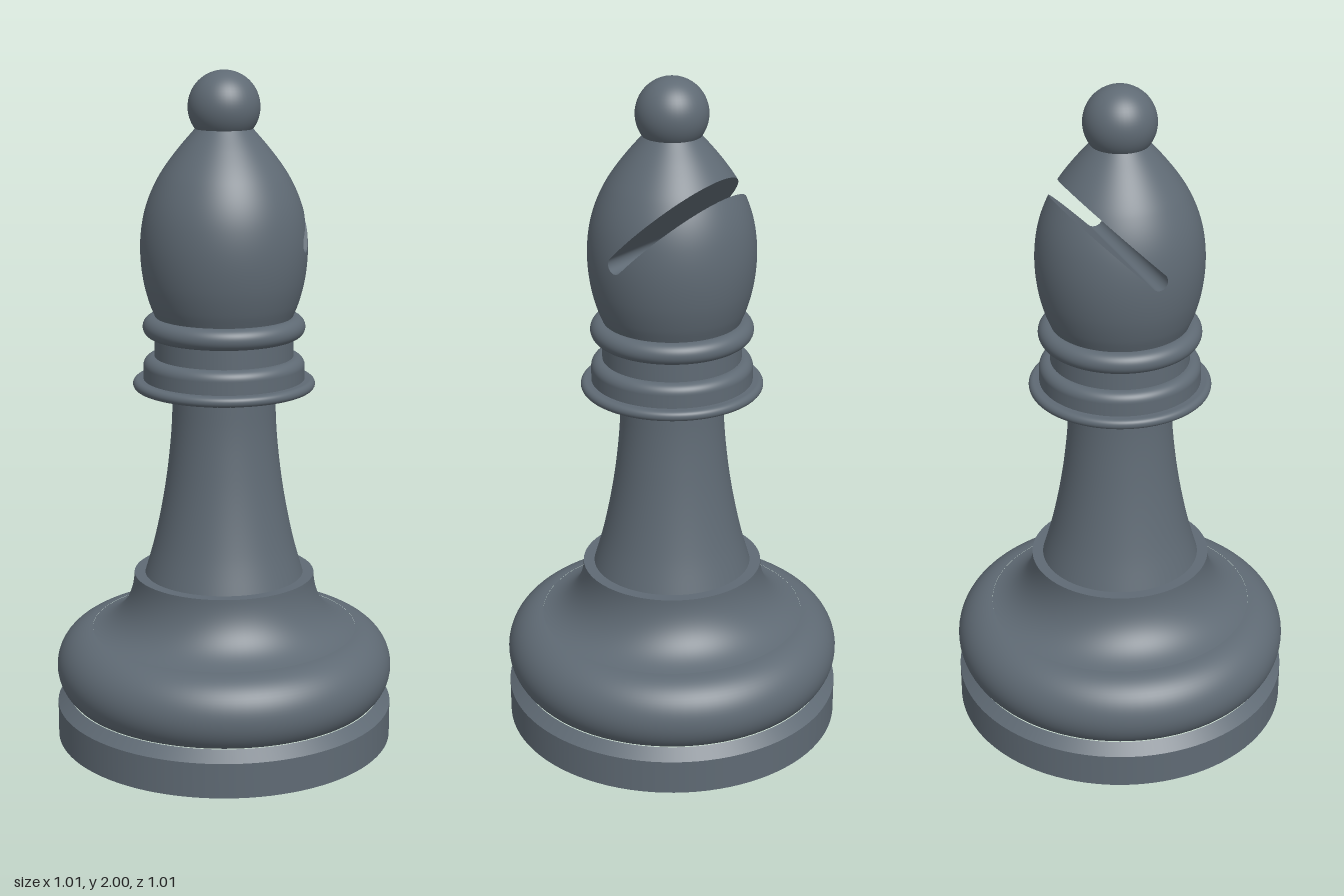
import * as THREE from 'three';
import { mergeGeometries } from 'three/addons/utils/BufferGeometryUtils.js';

const SEG = 96;
const material = new THREE.MeshStandardMaterial({ color: 0x5f6a74 });

// Profile helpers: every run is a smooth stretch of [radius, height] points; creases fall between runs.
const line = (...p) => p.map(([r, y]) => new THREE.Vector2(r, y));
const spline = (...p) => new THREE.SplineCurve(line(...p)).getPoints(32);
const bezier = (...p) => new THREE.CubicBezierCurve(...line(...p)).getPoints(24);
const arc = (r, y, radius, from, to) => Array.from({ length: 25 }, (_, i) => {
  const a = THREE.MathUtils.degToRad(from + (to - from) * i / 24);
  return new THREE.Vector2(r + radius * Math.cos(a), y + radius * Math.sin(a));
});

function turned(name, ...runs) {
  const mesh = new THREE.Mesh(mergeGeometries(runs.map(run => new THREE.LatheGeometry(run, SEG))), material);
  mesh.name = name;
  return mesh;
}

// Grid surface: one row per height, n steps across; point(y, t) and optional normal(y, t).
function grid(rows, n, point, normal) {
  const pos = [], nor = [], index = [];
  rows.forEach((y, j) => {
    for (let i = 0; i <= n; i++) {
      pos.push(...point(y, i / n));
      if (normal) nor.push(...normal(y, i / n));
      if (j && i) {
        const d = j * (n + 1) + i, c = d - 1, b = d - n - 1, a = b - 1;
        index.push(a, b, c, b, d, c);
      }
    }
  });
  const g = new THREE.BufferGeometry();
  g.setAttribute('position', new THREE.Float32BufferAttribute(pos, 3));
  g.setIndex(index);
  if (normal) g.setAttribute('normal', new THREE.Float32BufferAttribute(nor, 3));
  else g.computeVertexNormals();
  return g;
}

// Head: a turned egg with a round-bottomed slot cut across it, rising at 45 degrees to the back.
function slottedHead() {
  const bottom = 1.285, top = 1.84;
  const curve = new THREE.CubicInterpolant(
    [bottom, 1.33, 1.4, 1.49, 1.57, 1.63, 1.69, 1.73, 1.78, top],
    [0.199, 0.217, 0.235, 0.243, 0.236, 0.22, 0.193, 0.168, 0.13, 0.078], 1);
  const radius = y => curve.evaluate(y)[0];

  // Slot edges in the z-y plane at each height
  const cz = 0.018, cy = 1.512, h = 0.025, tip = cy - h, k = h * Math.SQRT1_2;
  const round = y => Math.sqrt(Math.max(0, h * h - (y - cy) ** 2));
  const frontEdge = y => y <= tip ? cz : y < cy + k ? cz + round(y) : cz + 2 * k - (y - cy);
  const backEdge = y => y <= tip ? cz : y < cy - k ? cz - round(y) : cz - 2 * k - (y - cy);

  // Height at which an edge leaves the head
  const exit = edge => {
    let lo = cy + k, hi = top;
    for (let i = 0; i < 40; i++) {
      const m = (lo + hi) / 2;
      if (edge(m) + radius(m) > 0) lo = m; else hi = m;
    }
    return lo;
  };
  const frontExit = exit(frontEdge), backExit = exit(backEdge);

  // Rows, packed closely around the slot's round end and its exits
  const span = (a, b, n, ease = t => t) => Array.from({ length: n + 1 }, (_, i) => a + (b - a) * ease(i / n));
  const easeOut = t => 1 - (1 - t) ** 2;
  const below = span(bottom, tip, 24);
  const bend = span(tip, cy + k, 16, t => t * t);
  const frontRows = [...bend, ...span(cy + k, frontExit, 32, easeOut).slice(1)];
  const backRows = [...bend, ...span(cy + k, backExit, 32, easeOut).slice(1)];

  const angle = (edge, y) => Math.acos(THREE.MathUtils.clamp(edge(y) / radius(y), -1, 1));
  const skin = (rows, theta) => grid(rows, SEG,
    (y, t) => {
      const r = radius(y), a = theta(y, t);
      return [r * Math.sin(a), y, r * Math.cos(a)];
    },
    (y, t) => {
      const e = 0.002, a = theta(y, t);
      const slope = (radius(y + e) - radius(y - e)) / (2 * e);
      return new THREE.Vector3(Math.sin(a), -slope, Math.cos(a)).normalize().toArray();
    });
  const wall = (rows, edge, side) => grid(rows, 8, (y, t) => {
    const z = edge(y), x = Math.sqrt(Math.max(0, radius(y) ** 2 - z * z));
    return [side * x * (2 * t - 1), y, z];
  });

  const mesh = new THREE.Mesh(mergeGeometries([
    skin([...below, ...frontRows.slice(1), ...span(frontExit, top, 16).slice(1)],
      (y, t) => (2 * t - 1) * (y >= frontExit ? Math.PI : angle(frontEdge, y))),
    skin([...below, ...backRows.slice(1)], (y, t) => {
      const a = angle(backEdge, y);
      return a + 2 * (Math.PI - a) * t;
    }),
    wall(frontRows, frontEdge, -1),
    wall(backRows, backEdge, 1),
  ]), material);
  mesh.name = 'slottedHead';
  return mesh;
}

export function createModel() {
  const group = new THREE.Group();
  group.name = 'bishop';

  // Foot: plinth, rounded bulge and hollow sweeping up to a ledge
  group.add(
    turned('plinth',
      line([0, 0], [0.507, 0]), line([0.507, 0], [0.507, 0.105]),
      line([0.507, 0.105], [0.474, 0.135])),
    turned('baseBulge', arc(0.39, 0.22, 0.117, -46, 86)),
    turned('baseHollow',
      bezier([0.398, 0.336], [0.32, 0.352], [0.273, 0.42], [0.27, 0.508]),
      line([0.27, 0.508], [0.23, 0.508])));

  // Stem
  group.add(turned('stem', spline([0.238, 0.505], [0.211, 0.6], [0.189, 0.7], [0.172, 0.8], [0.16, 0.9], [0.154, 0.98], [0.152, 1.06])));

  // Collar: thin flange, band, neck and upper ring
  group.add(
    turned('flange',
      line([0.14, 1.055], [0.2, 1.062], [0.255, 1.076]),
      arc(0.253, 1.091, 0.015, -80, 90),
      line([0.253, 1.106], [0.23, 1.106])),
    turned('collarBand',
      line([0.237, 1.1], [0.237, 1.145]), arc(0.209, 1.145, 0.028, 0, 90),
      line([0.209, 1.173], [0.19, 1.173])),
    turned('neck', line([0.204, 1.17], [0.204, 1.235])),
    turned('upperRing',
      line([0.19, 1.23], [0.216, 1.23]), arc(0.207, 1.261, 0.031, -90, 90),
      line([0.207, 1.292], [0.18, 1.292])));

  // Head and ball
  group.add(slottedHead());
  const ball = new THREE.Mesh(new THREE.SphereGeometry(0.104, 48, 32), material);
  ball.name = 'topBall';
  ball.position.y = 1.896;
  group.add(ball);

  return group;
}
